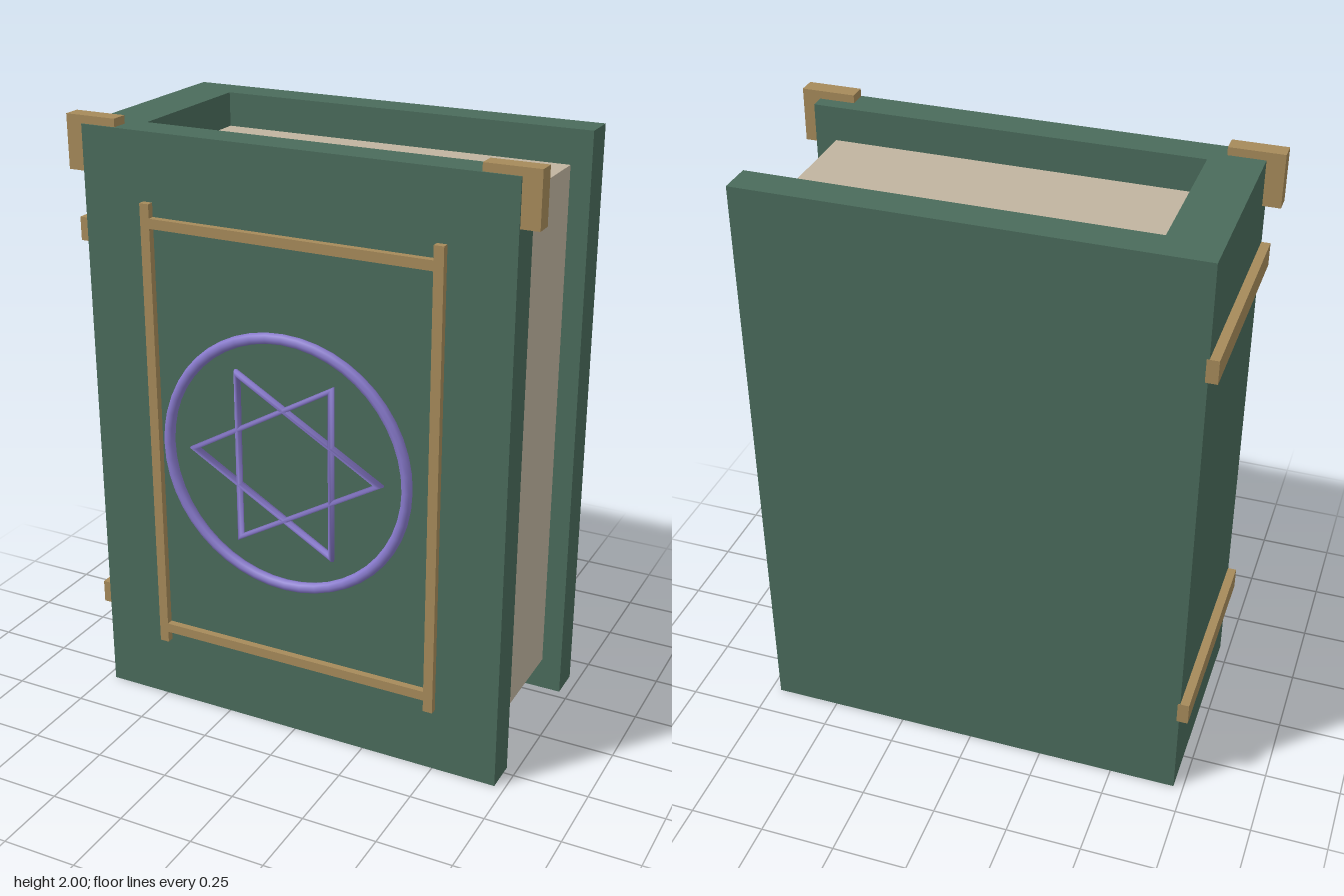
import * as THREE from 'three';

function material(name, color) {
  const m = new THREE.MeshStandardMaterial({ color });
  m.name = name;
  return m;
}

export function createModel() {
  const green = material('green cover', 0x4a6b5b);
  const paper = material('paper', 0xc0b49f);
  const brass = material('brass', 0xa68a5a);
  const violet = material('violet', 0x887acc);

  const model = new THREE.Group();
  model.name = 'book';

  const add = (name, geometry, mat) => {
    const mesh = new THREE.Mesh(geometry, mat);
    mesh.name = name;
    model.add(mesh);
    return mesh;
  };
  // Box given by its minimum and maximum on each axis
  const box = (name, mat, [x0, x1], [y0, y1], [z0, z1]) => {
    const mesh = add(name, new THREE.BoxGeometry(x1 - x0, y1 - y0, z1 - z0), mat);
    mesh.position.set((x0 + x1) / 2, (y0 + y1) / 2, (z0 + z1) / 2);
  };

  // Cover: C-shaped section (x, -z) of spine and two boards, raised along y
  const section = new THREE.Shape([
    [-0.718, -0.33], [0.716, -0.33], [0.716, -0.22], [-0.55, -0.22],
    [-0.55, 0.283], [0.716, 0.283], [0.716, 0.394], [-0.718, 0.394],
  ].map(([x, y]) => new THREE.Vector2(x, y)));
  const cover = new THREE.ExtrudeGeometry(section, { depth: 1.974, bevelEnabled: false });
  cover.rotateX(-Math.PI / 2);
  add('cover', cover, green);

  // Page block, recessed from the cover edges
  box('pages', paper, [-0.56, 0.648], [0.112, 1.862], [-0.288, 0.225]);

  // Spine bands
  for (const y of [0.338, 1.638]) {
    box('spineBand', brass, [-0.747, -0.71], [y - 0.038, y + 0.038], [-0.395, 0.325]);
  }

  // Corner caps on the front board
  box('cornerCapRight', brass, [-0.775, -0.6], [1.826, 2], [0.268, 0.325]);
  box('cornerCapLeft', brass, [0.6, 0.775], [1.826, 2], [0.268, 0.325]);

  // Raised frame on the front board
  for (const x of [-0.489, 0.489]) {
    box('frameUpright', brass, [x - 0.016, x + 0.016], [0.222, 1.756], [0.32, 0.353]);
  }
  for (const y of [0.277, 1.695]) {
    box('frameRail', brass, [-0.473, 0.473], [y - 0.016, y + 0.016], [0.32, 0.353]);
  }

  // Emblem: ring with a star of two three-sided loops
  const place = (mesh) => mesh.position.set(0, 0.988, 0.377);
  place(add('emblemRing', new THREE.TorusGeometry(0.416, 0.018, 8, 48), violet));
  for (const turn of [0, Math.PI]) {
    const loop = add('emblemTriangle', new THREE.TorusGeometry(0.323, 0.016, 8, 3), violet);
    loop.rotation.z = turn;
    place(loop);
  }

  return model;
}
